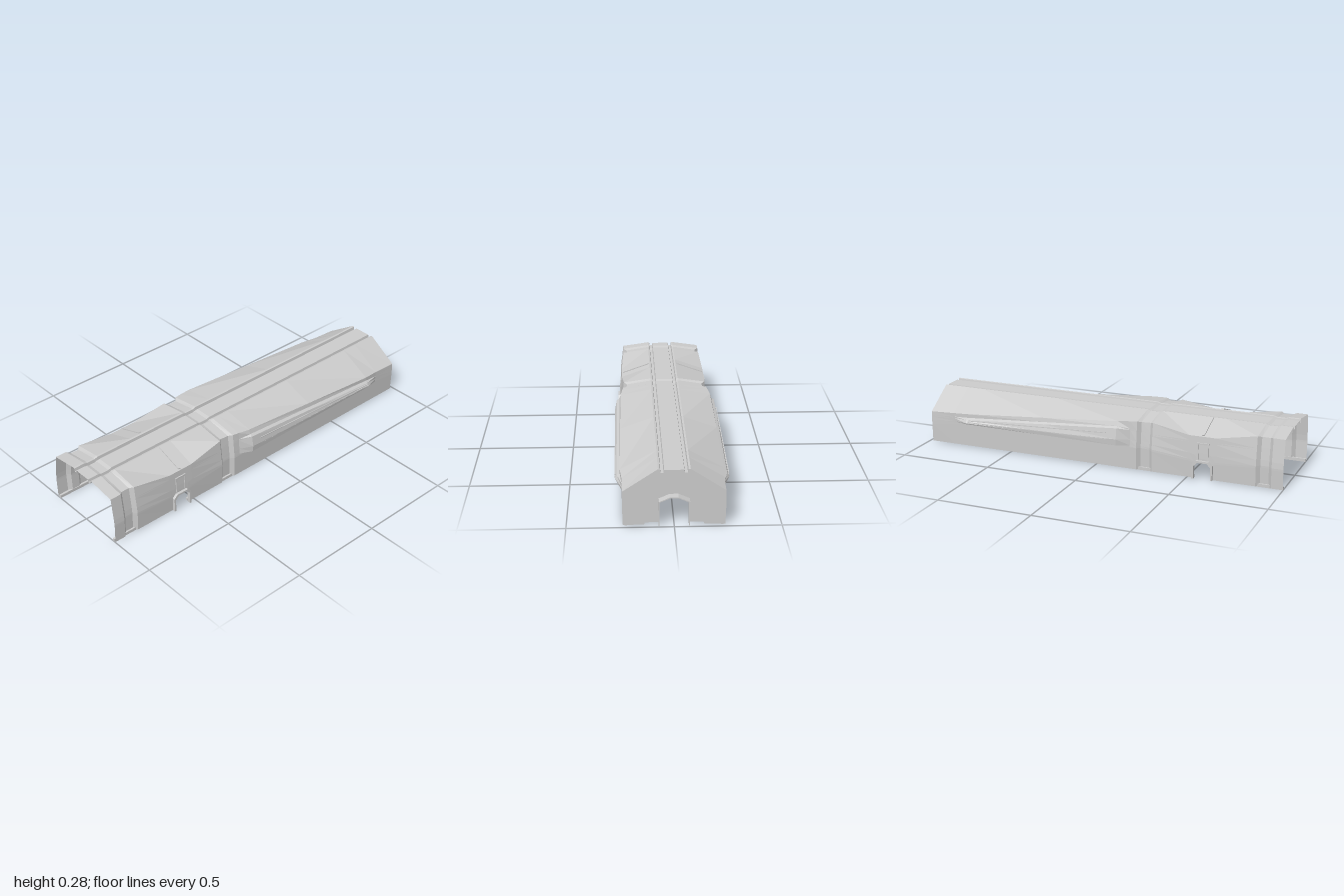
import * as THREE from 'three';

const lerp = THREE.MathUtils.lerp;
const material = new THREE.MeshStandardMaterial({ color: 0xcccccc, flatShading: true, side: THREE.DoubleSide });

function add(parent, name, geometry, x = 0, y = 0, z = 0) {
  const mesh = new THREE.Mesh(geometry, material);
  mesh.name = name;
  mesh.position.set(x, y, z);
  parent.add(mesh);
  return mesh;
}

// Piecewise linear lookup in [z, value] pairs, z falling
function along(keys, z) {
  if (z >= keys[0][0]) return keys[0][1];
  for (let i = 1; i < keys.length; i++) {
    const [z0, a] = keys[i - 1], [z1, b] = keys[i];
    if (z >= z1) return lerp(a, b, (z0 - z) / (z0 - z1));
  }
  return keys[keys.length - 1][1];
}

// Rules along the length: shoulder line, band recesses, side bulge, door head
const shoulderY = [[0.86, 0.26], [0.65, 0.225], [0.51, 0.225], [0.31, 0.26], [0.2, 0.258], [-0.85, 0.178], [-0.98, 0.172]];
const shoulderX = [[0.86, 0.224], [0.65, 0.235], [0.51, 0.235], [0.31, 0.224], [0.225, 0.228], [0.12, 0.243], [-0.75, 0.25], [-0.86, 0.24]];
const bandInset = [[0.94, 0], [0.922, 1], [0.878, 1], [0.86, 0], [0.31, 0], [0.292, 1], [0.243, 1], [0.225, 0]];
const bulge = [[0.19, 0], [0.125, 1], [-0.75, 1], [-0.84, 0]];
const doorHead = [[0.68, 0.1], [0.63, 0.08], [0.61, 0.1], [0.56, 0.1], [0.54, 0.08], [0.49, 0.1], [0.2, 0.12], [-0.75, 0.125], [-0.98, 0.1]];
const panelTop = [[0.31, 0.2], [0.125, 0.228], [-0.75, 0.165], [-0.98, 0.15]];
const stations = [1, 0.94, 0.922, 0.878, 0.86, 0.65, 0.63, 0.61, 0.56, 0.54, 0.51, 0.31, 0.292, 0.243,
  0.225, 0.19, 0.125, -0.3, -0.75, -0.84, -0.98];

// Half profile from the foot of the wall up to the crown
function halfProfile(z) {
  const k = along(bandInset, z), b = along(bulge, z);
  const sy = along(shoulderY, z), sx = along(shoulderX, z);
  const top = along(panelTop, z), low = along(doorHead, z);
  const wall = y => lerp(0.241, sx, Math.max(0, (y - 0.12) / (sy - 0.12)));
  const mid = lerp(low, top, 0.4);
  const points = [
    [0.238, 0.003], [0.241, low],
    [lerp(wall(low + 0.01), 0.271, b), low + 0.01],
    [lerp(wall(mid), 0.274, b), mid],
    [lerp(wall(top - 0.008), 0.264, b), top - 0.008],
    [lerp(wall(top), 0.25, b), top],
    [sx, sy], [0.075, 0.281], [0.066, 0.279],
    [0.063, 0.263], [0.049, 0.263], [0.046, 0.277],
  ];
  return points.map(([x, y], i) => [x - (i < 7 ? 0.018 * k : 0), y - (i > 5 ? 0.006 * k : 0)]);
}

function fullProfile(z) {
  const half = halfProfile(z);
  return [...half, ...half.map(([x, y]) => [-x, y]).reverse()];
}

// Loft through cross-sections, skipping quads where skip(i, j) is true
function loft(rings, skip = () => false) {
  const n = rings[0].length, index = [];
  for (let i = 0; i < rings.length - 1; i++) {
    for (let j = 0; j < n - 1; j++) {
      if (skip(i, j, n)) continue;
      const a = i * n + j, b = a + n;
      index.push(a, b, a + 1, a + 1, b, b + 1);
    }
  }
  const geometry = new THREE.BufferGeometry();
  geometry.setAttribute('position', new THREE.Float32BufferAttribute(rings.flat(2), 3));
  geometry.setIndex(index);
  geometry.computeVertexNormals();
  return geometry;
}

const ringAt = (points, z) => points.map(([x, y]) => [x, y, z]);
const mirrored = points => [...points, ...points.map(([x, y]) => [-x, y]).reverse()];
const shapeOf = points => new THREE.Shape(points.map(([x, y]) => new THREE.Vector2(x, y)));
const extrude = (points, depth) => new THREE.ExtrudeGeometry(shapeOf(points), { depth, bevelEnabled: false });

export function createModel() {
  const model = new THREE.Group();
  model.name = 'tunnelSection';

  // Thin folded shell with two roof channels and a doorway cut in each side
  const inDoor = i => stations[i] <= 0.63 && stations[i + 1] >= 0.54;
  add(model, 'shell', loft(stations.map(z => ringAt(fullProfile(z), z)),
    (i, j, n) => inDoor(i) && (j === 0 || j === n - 2)));

  // End wall, cut away around the recessed portal
  const portal = mirrored([[0.14, 0.005], [0.09, 0.122], [0.084, 0.13], [0.03, 0.16]]);
  const wall = [...fullProfile(-0.98), ...[...portal].reverse()];
  add(model, 'endWall', new THREE.ShapeGeometry(shapeOf(wall)), 0, 0, -0.98);
  add(model, 'portalRim', loft([ringAt(portal, -0.95), ringAt(portal, -0.98)]));

  // Portal plate and the door lining that runs out through it
  const door = mirrored([[0.068, 0.005], [0.068, 0.122], [0.02, 0.143]]);
  const lining = mirrored([[0.073, 0.005], [0.073, 0.125], [0.02, 0.148]]);
  add(model, 'portalPlate', extrude([...portal, ...[...door].reverse()], 0.008), 0, 0, -0.958);
  add(model, 'doorLining', extrude([...lining, ...[...door].reverse()], 0.048), 0, 0, -1);

  for (const side of [1, -1]) {
    const half = new THREE.Group();
    half.name = side > 0 ? 'leftDetails' : 'rightDetails';
    model.add(half);

    // Raised panel beside the end door
    const panel = [[0.08, 0.012], [0.128, 0.012], [0.112, 0.055], [0.086, 0.07]];
    add(half, 'portalPanel', extrude(panel.map(([x, y]) => [side * x, y]), 0.004), 0, 0, -0.952);

    // Side door frame, drawn as an arch in the z-y plane
    const arch = (w, h, z = 0.585) => [[z + w, 0.003], [z + w, h - 0.02], [z + w - 0.02, h],
      [z - w + 0.02, h], [z - w, h - 0.02], [z - w, 0.003]];
    const frame = add(half, 'sideDoorFrame',
      extrude([...arch(0.054, 0.1), ...arch(0.045, 0.09).reverse()], 0.018), side * 0.246, 0, 0);
    frame.geometry.translate(0, 0, -0.009);
    frame.geometry.rotateY(-Math.PI / 2);

    // Slotted panel above the side door
    for (const z of [0.558, 0.612]) {
      add(half, 'slotPost', new THREE.BoxGeometry(0.008, 0.085, 0.008), side * 0.241, 0.148, z).rotation.z = side * 0.04;
    }
    add(half, 'slotHead', new THREE.BoxGeometry(0.008, 0.008, 0.062), side * 0.239, 0.188, 0.585);

    // Roof rib across the valley
    const rib = add(half, 'roofRib', new THREE.BoxGeometry(0.155, 0.008, 0.014), side * 0.155, 0.254, 0.58);
    rib.rotation.z = -side * Math.atan2(0.056, 0.16);

    // Tapered light slots on the side bulge
    const slot = (name, y0, y1, z0, z1) => {
      const bar = add(half, name, new THREE.BoxGeometry(0.004, 0.004, Math.hypot(z0 - z1, y0 - y1)),
        side * 0.272, (y0 + y1) / 2, (z0 + z1) / 2);
      bar.rotation.x = -Math.atan2(y0 - y1, z0 - z1);
    };
    slot('upperTrim', 0.192, 0.155, 0.07, -0.74);
    slot('lowerTrim', 0.158, 0.146, 0.07, -0.74);

    // Foot ledge inside the wall, broken at the side door
    for (const [z0, z1] of [[1, 0.635], [0.535, -0.98]]) {
      add(half, 'footLedge', new THREE.BoxGeometry(0.012, 0.016, z0 - z1), side * 0.224, 0.008, (z0 + z1) / 2);
    }
  }
  return model;
}
